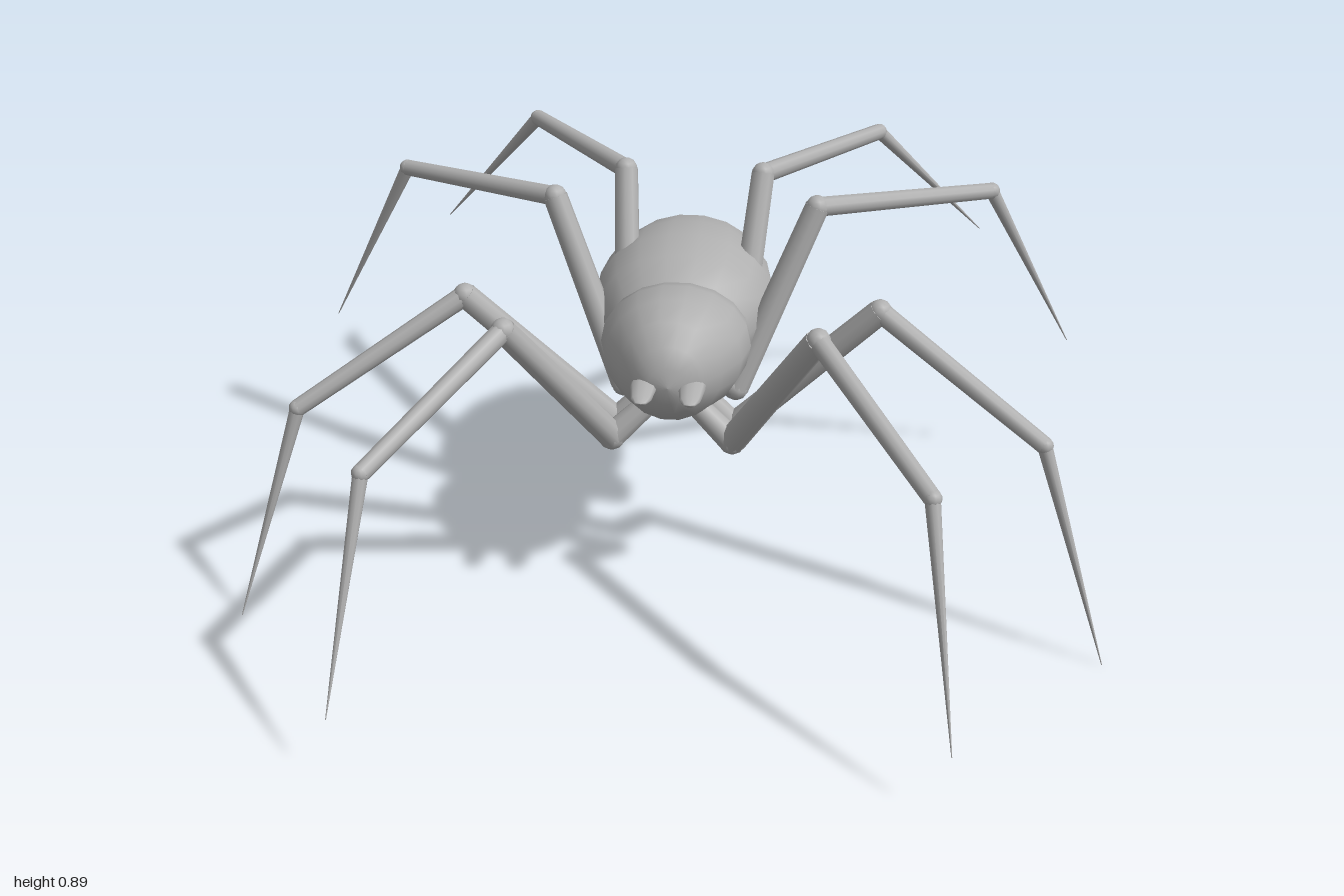
import * as THREE from 'three';

const grey = new THREE.MeshStandardMaterial({ color: 0xb0b0b0 });
grey.name = 'grey';

// Smooth shell through elliptical rings [z, halfWidth, yTop, yBottom], listed front to back
function loft(name, rings, sides = 18) {
  const pos = [], index = [];
  for (const [z, w, top, bottom] of rings) {
    for (let j = 0; j < sides; j++) {
      const a = (j / sides) * Math.PI * 2;
      pos.push(Math.cos(a) * w, (top + bottom) / 2 + Math.sin(a) * (top - bottom) / 2, z);
    }
  }
  for (let i = 0; i < rings.length - 1; i++) {
    for (let j = 0; j < sides; j++) {
      const k = (j + 1) % sides;
      const a = i * sides + j, b = i * sides + k, c = a + sides, d = b + sides;
      index.push(a, c, b, b, c, d);
    }
  }
  const geo = new THREE.BufferGeometry();
  geo.setAttribute('position', new THREE.Float32BufferAttribute(pos, 3));
  geo.setIndex(index);
  geo.computeVertexNormals();
  const mesh = new THREE.Mesh(geo, grey);
  mesh.name = name;
  return mesh;
}

// Tapered tube between two points
function segment(name, p, q, rp, rq) {
  const dir = q.clone().sub(p);
  const mesh = new THREE.Mesh(new THREE.CylinderGeometry(rq, rp, dir.length(), 10), grey);
  mesh.position.copy(p).add(q).multiplyScalar(0.5);
  mesh.quaternion.setFromUnitVectors(new THREE.Vector3(0, 1, 0), dir.normalize());
  mesh.name = name;
  return mesh;
}

function joint(name, p, r) {
  const mesh = new THREE.Mesh(new THREE.SphereGeometry(r, 10, 8), grey);
  mesh.position.copy(p);
  mesh.name = name;
  return mesh;
}

// Leg from four points: hip, knee, ankle, tip
function makeLeg(name, points) {
  const leg = new THREE.Group();
  leg.name = name;
  const [hip, knee, ankle, tip] = points.map((p) => new THREE.Vector3(...p));
  const root = new THREE.Vector3(hip.x * 0.35, 0.49, hip.z * 0.85);
  leg.add(
    segment('coxa', root, hip, 0.026, 0.032),
    joint('hipJoint', hip, 0.033),
    segment('femur', hip, knee, 0.033, 0.029),
    joint('kneeJoint', knee, 0.028),
    segment('tibia', knee, ankle, 0.024, 0.02),
    joint('ankleJoint', ankle, 0.02),
    segment('foot', ankle, tip, 0.017, 0.001),
  );
  return leg;
}

export function createModel() {
  const model = new THREE.Group();
  model.name = 'spider';

  model.add(loft('head', [
    [0.272, 0, 0.6, 0.6],
    [0.265, 0.045, 0.645, 0.555],
    [0.245, 0.08, 0.69, 0.52],
    [0.2, 0.118, 0.73, 0.48],
    [0.12, 0.158, 0.747, 0.452],
    [0.04, 0.175, 0.745, 0.447],
    [-0.03, 0.168, 0.72, 0.455],
    [-0.08, 0.14, 0.68, 0.48],
    [-0.12, 0, 0.59, 0.59],
  ]));

  model.add(loft('abdomen', [
    [0.02, 0, 0.58, 0.58],
    [0.0, 0.1, 0.66, 0.49],
    [-0.06, 0.17, 0.712, 0.445],
    [-0.14, 0.205, 0.74, 0.42],
    [-0.24, 0.22, 0.75, 0.41],
    [-0.34, 0.208, 0.742, 0.42],
    [-0.45, 0.175, 0.71, 0.447],
    [-0.53, 0.125, 0.672, 0.49],
    [-0.575, 0.075, 0.64, 0.535],
    [-0.598, 0.025, 0.61, 0.575],
    [-0.602, 0, 0.592, 0.592],
  ]));

  // Flattened fangs
  for (const side of [1, -1]) {
    const fang = loft(side > 0 ? 'leftFang' : 'rightFang', [
      [0.338, 0, 0.595, 0.595],
      [0.335, 0.013, 0.599, 0.59],
      [0.315, 0.023, 0.605, 0.583],
      [0.26, 0.03, 0.612, 0.578],
      [0.2, 0.03, 0.612, 0.578],
    ], 10);
    fang.position.x = side * 0.054;
    model.add(fang);
  }

  // Hip, knee, ankle and tip of each leg, front pair to back pair
  const legs = {
    leftLeg1: [[0.14, 0.405, 0.15], [0.33, 0.77, 0.345], [0.57, 0.615, 0.715], [0.63, 0.145, 0.94]],
    rightLeg1: [[-0.14, 0.405, 0.15], [-0.35, 0.765, 0.34], [-0.595, 0.605, 0.695], [-0.655, 0.14, 0.915]],
    leftLeg2: [[0.14, 0.395, 0.065], [0.465, 0.74, 0.13], [0.835, 0.51, 0.3], [1, 0, 0.4]],
    rightLeg2: [[-0.14, 0.395, 0.06], [-0.475, 0.735, 0.11], [-0.845, 0.51, 0.265], [-1, 0, 0.365]],
    leftLeg3: [[0.135, 0.42, -0.085], [0.315, 0.86, -0.17], [0.735, 0.83, -0.375], [0.968, 0.375, -0.49]],
    rightLeg3: [[-0.135, 0.42, -0.085], [-0.305, 0.86, -0.185], [-0.71, 0.825, -0.42], [-0.948, 0.36, -0.52]],
    leftLeg4: [[0.13, 0.42, -0.135], [0.18, 0.86, -0.365], [0.465, 0.85, -0.7], [0.76, 0.49, -0.925]],
    rightLeg4: [[-0.13, 0.42, -0.135], [-0.155, 0.86, -0.37], [-0.425, 0.85, -0.73], [-0.72, 0.47, -0.95]],
  };
  for (const [name, points] of Object.entries(legs)) model.add(makeLeg(name, points));

  return model;
}
